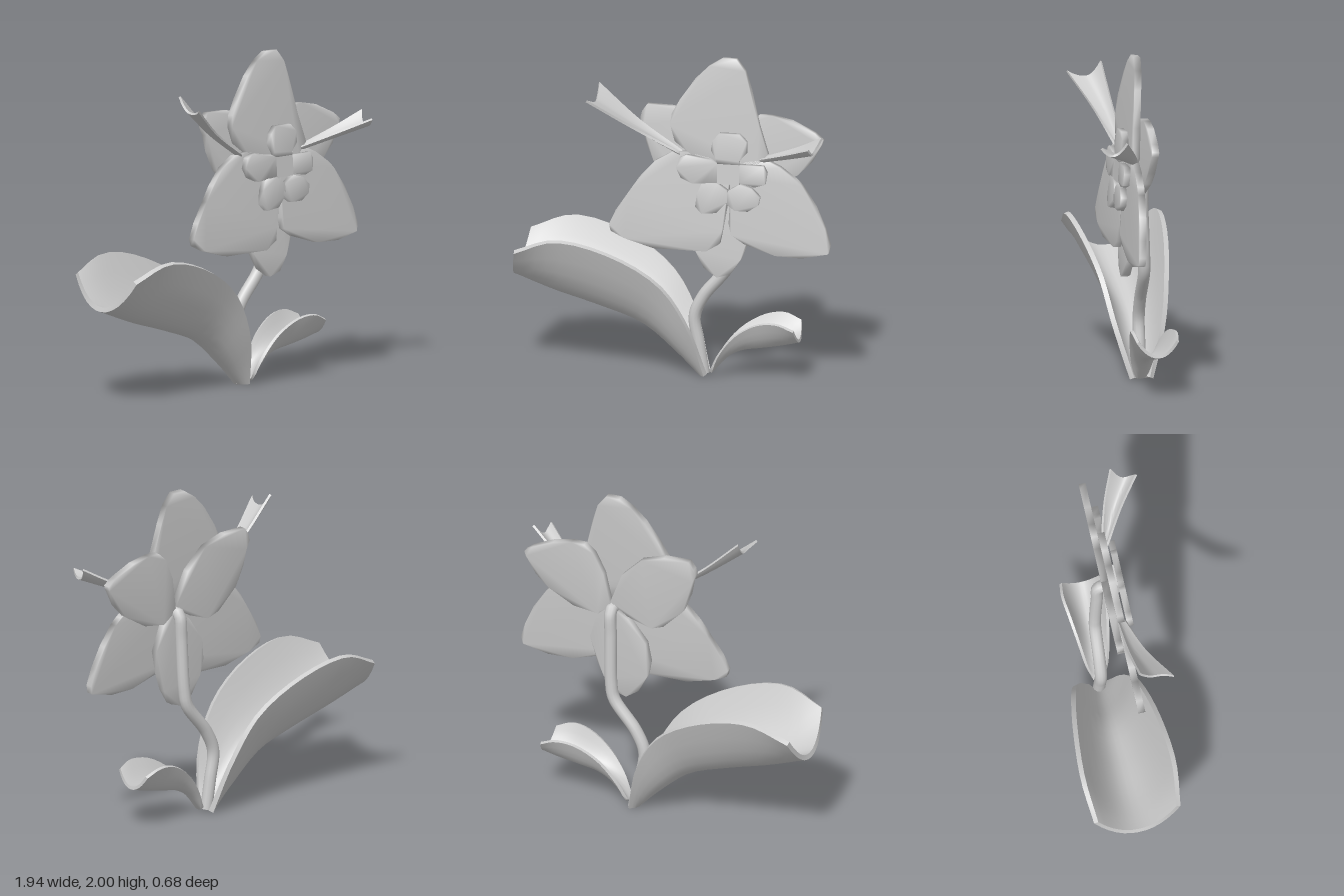
import * as THREE from 'three';
import { mergeVertices, toCreasedNormals } from 'three/addons/utils/BufferGeometryUtils.js';

const material = new THREE.MeshStandardMaterial({ color: 0xcccccc });

function addMesh(parent, name, geometry) {
  const mesh = new THREE.Mesh(geometry, material);
  mesh.name = name;
  parent.add(mesh);
  return mesh;
}

// Flat petal plate centred on depth z, with softly averaged normals
function petal(parent, name, outline, z, thickness) {
  const shape = new THREE.Shape(outline.map(([x, y]) => new THREE.Vector2(x, y - PIVOT)));
  let geo = new THREE.ExtrudeGeometry(shape, { depth: thickness, bevelEnabled: false });
  geo.translate(0, 0, z - thickness / 2);
  geo.deleteAttribute('uv');
  geo.deleteAttribute('normal');
  geo = mergeVertices(geo, 1e-4);
  geo.computeVertexNormals();
  return addMesh(parent, name, geo);
}

// Thick trough-shaped blade spanned by a back edge, a keel and a front edge
function blade(parent, name, back, keel, front, thickness, rows = 18, cols = 12) {
  const [cb, ck, cf] = [back, keel, front].map(
    (pts) => new THREE.CatmullRomCurve3(pts.map((p) => new THREE.Vector3(...p))));
  const at = (s, u) => {
    const k = ck.getPoint(s);
    const e = (u < 0 ? cb : cf).getPoint(s);
    const rise = Math.abs(u) ** 2.1;
    return new THREE.Vector3(
      k.x + (e.x - k.x) * rise, k.y + (e.y - k.y) * rise, k.z + (e.z - k.z) * Math.abs(u));
  };
  const normal = (s, u) => {
    const d = 0.01;
    const ds = at(Math.min(s + d, 1), u).sub(at(Math.max(s - d, 0), u));
    const du = at(s, Math.min(u + d, 1)).sub(at(s, Math.max(u - d, -1)));
    return ds.cross(du).normalize();
  };
  const pos = [], index = [], loop = 2 * (cols + 1);
  for (let i = 0; i <= rows; i++) {
    for (let k = 0; k < loop; k++) {
      const top = k <= cols;
      const s = i / rows, u = -1 + (2 * (top ? k : loop - 1 - k)) / cols;
      pos.push(...at(s, u).addScaledVector(normal(s, u), (top ? 0.5 : -0.5) * thickness));
    }
  }
  const quad = (a, b, c, d) => index.push(a, b, c, a, c, d);
  for (let i = 0; i < rows; i++) {
    for (let k = 0; k < loop; k++) {
      const n = (k + 1) % loop, r = i * loop;
      quad(r + k, r + loop + k, r + loop + n, r + n);
    }
  }
  const end = rows * loop;
  for (let j = 0; j < cols; j++) {
    const m = loop - 1 - j;
    quad(j, j + 1, m - 1, m);
    quad(end + m, end + m - 1, end + j + 1, end + j);
  }
  const geo = new THREE.BufferGeometry();
  geo.setAttribute('position', new THREE.Float32BufferAttribute(pos, 3));
  geo.setIndex(index);
  return addMesh(parent, name, toCreasedNormals(geo, 0.8));
}

// Symmetric leaf: edge and keel points in x, y with a half width per station
function leaf(parent, name, keel, edge, widths, zc, thickness) {
  const side = (sign) => edge.map(([x, y], i) => [x, y, zc + sign * widths[i]]);
  return blade(parent, name, side(-1), keel.map(([x, y]) => [x, y, zc]), side(1), thickness);
}

const PIVOT = 1.3;

export function createModel() {
  const model = new THREE.Group();
  model.name = 'flower';

  // Blossom, leaning slightly back
  const blossom = new THREE.Group();
  blossom.name = 'blossom';
  blossom.position.y = PIVOT;
  blossom.rotation.x = -0.075;
  model.add(blossom);

  // Large front petals
  const frontPetals = {
    topPetal: [[0.3, 2], [0.385, 2], [0.44, 1.93], [0.475, 1.82], [0.53, 1.6], [0.585, 1.43], [0.52, 1.36],
      [0.36, 1.27], [0.1, 1.42], [0.02, 1.48], [-0.01, 1.58], [0, 1.65], [0.05, 1.74], [0.14, 1.87], [0.22, 1.95]],
    lowerRightPetal: [[0.36, 1.3], [0.24, 1.39], [0.1, 1.42], [0, 1.41], [-0.1, 1.35], [-0.19, 1.25], [-0.25, 1.16],
      [-0.33, 1.04], [-0.37, 0.95], [-0.36, 0.91], [-0.28, 0.87], [-0.1, 0.82], [0.22, 0.82], [0.3, 0.87],
      [0.315, 0.95], [0.34, 1.1]],
    lowerLeftPetal: [[0.36, 1.3], [0.36, 1.1], [0.355, 1], [0.37, 0.93], [0.45, 0.88], [0.64, 0.82], [0.8, 0.815],
      [0.96, 0.85], [0.97, 0.9], [0.94, 1], [0.88, 1.13], [0.8, 1.25], [0.76, 1.29], [0.66, 1.36], [0.57, 1.4], [0.45, 1.38]],
  };
  for (const [name, outline] of Object.entries(frontPetals)) petal(blossom, name, outline, 0.072, 0.042);

  // Back petals
  const backPetals = {
    backRightPetal: [[-0.19, 1.64], [-0.16, 1.685], [0, 1.68], [0.15, 1.63], [0.28, 1.5], [0.36, 1.3], [0.25, 1.22],
      [0.1, 1.17], [0.02, 1.2], [-0.11, 1.33], [-0.16, 1.45], [-0.18, 1.55], [-0.2, 1.6]],
    backLeftPetal: [[0.36, 1.27], [0.4, 1.48], [0.46, 1.61], [0.52, 1.66], [0.6, 1.66], [0.72, 1.635], [0.86, 1.57],
      [0.91, 1.53], [0.9, 1.5], [0.84, 1.39], [0.76, 1.31], [0.6, 1.22], [0.45, 1.2]],
    backBottomPetal: [[0.28, 0.655], [0.36, 0.68], [0.42, 0.77], [0.46, 0.87], [0.5, 1.03], [0.45, 1.19], [0.36, 1.27],
      [0.25, 1.2], [0.14, 1.05], [0.12, 0.92], [0.14, 0.82], [0.2, 0.71]],
  };
  for (const [name, outline] of Object.entries(backPetals)) petal(blossom, name, outline, 0.029, 0.042);

  // Small inner crown around a square centre
  const crown = {
    crownTop: [[0.25, 1.45], [0.26, 1.51], [0.3, 1.555], [0.42, 1.555], [0.465, 1.51], [0.465, 1.44], [0.42, 1.39],
      [0.425, 1.37], [0.29, 1.37], [0.28, 1.4]],
    crownRight: [[0.29, 1.37], [0.25, 1.39], [0.1, 1.41], [0.06, 1.39], [0.04, 1.33], [0.07, 1.27], [0.14, 1.24],
      [0.2, 1.245], [0.29, 1.255]],
    crownLeft: [[0.425, 1.37], [0.57, 1.37], [0.59, 1.33], [0.58, 1.26], [0.52, 1.24], [0.425, 1.26]],
    crownLowerRight: [[0.2, 1.25], [0.29, 1.25], [0.35, 1.21], [0.355, 1.14], [0.29, 1.07], [0.2, 1.06], [0.16, 1.1], [0.17, 1.18]],
    crownLowerLeft: [[0.425, 1.25], [0.5, 1.23], [0.55, 1.18], [0.54, 1.13], [0.48, 1.09], [0.4, 1.09], [0.33, 1.14], [0.36, 1.21]],
  };
  for (const [name, outline] of Object.entries(crown)) petal(blossom, name, outline, 0.122, 0.038);
  const centre = addMesh(blossom, 'centre', new THREE.BoxGeometry(0.135, 0.125, 0.06));
  centre.position.set(0.3575, 0.01, 0.11);

  // Two narrow curled side blades
  blade(model, 'rightSideBlade',
    [[0.06, 1.42, 0.04], [-0.2, 1.6, 0.05], [-0.44, 1.82, 0.07]],
    [[0.06, 1.4, 0.06], [-0.2, 1.56, 0.1], [-0.44, 1.73, 0.17]],
    [[0.05, 1.42, 0.09], [-0.22, 1.58, 0.16], [-0.475, 1.76, 0.27]], 0.014);
  blade(model, 'leftSideBlade',
    [[0.54, 1.41, 0.05], [0.78, 1.51, 0.12], [0.94, 1.6, 0.19]],
    [[0.54, 1.39, 0.065], [0.75, 1.46, 0.17], [0.9, 1.52, 0.27]],
    [[0.54, 1.41, 0.085], [0.73, 1.49, 0.21], [0.885, 1.565, 0.335]], 0.014);

  // Bent stem, hooking forward into the blossom
  const path = new THREE.CatmullRomCurve3([
    [0.17, 0.02, -0.045], [0.14, 0.2, -0.045], [0.115, 0.37, -0.045], [0.17, 0.5, -0.043], [0.315, 0.685, -0.038],
    [0.335, 0.78, -0.034], [0.345, 1.1, -0.02], [0.35, 1.23, -0.015], [0.35, 1.255, 0.005], [0.35, 1.255, 0.03],
  ].map((p) => new THREE.Vector3(...p)), false, 'centripetal');
  addMesh(model, 'stem', new THREE.TubeGeometry(path, 48, 0.037, 12));

  // Base leaves
  leaf(model, 'largeLeaf',
    [[0.15, 0.02], [0.02, 0.15], [-0.19, 0.32], [-0.45, 0.415], [-0.72, 0.495], [-0.965, 0.585]],
    [[0.19, 0.02], [0.1, 0.34], [-0.06, 0.6], [-0.35, 0.785], [-0.68, 0.86], [-0.93, 0.77]],
    [0.06, 0.15, 0.2, 0.25, 0.275, 0.25], -0.05, 0.03);
  leaf(model, 'smallLeaf',
    [[0.215, 0.03], [0.32, 0.145], [0.41, 0.19], [0.52, 0.21], [0.65, 0.235], [0.755, 0.262]],
    [[0.22, 0.04], [0.275, 0.16], [0.38, 0.29], [0.52, 0.375], [0.64, 0.39], [0.74, 0.35]],
    [0.035, 0.065, 0.09, 0.115, 0.13, 0.12], -0.035, 0.018);

  return model;
}
